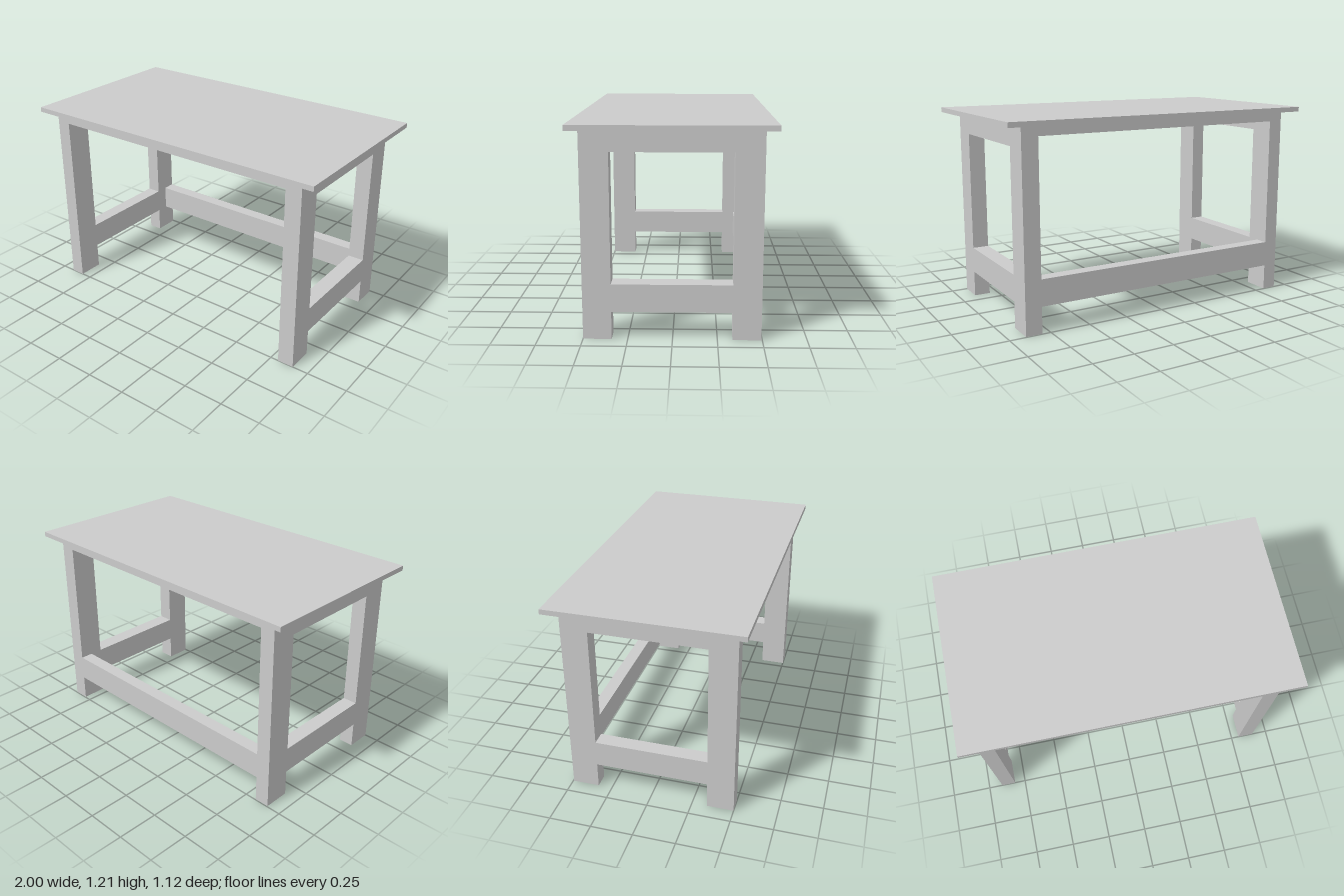
import * as THREE from 'three';

const TOP = 1.18;          // underside of the tabletop
const X0 = -0.82, X1 = 0.8; // inner faces of the end frames
const Z0 = -0.495, Z1 = 0.5; // back and front faces of the legs
const IN0 = -0.335, IN1 = 0.34; // inner faces of the legs

const polygon = (pts, Type = THREE.Shape) => new Type(pts.map(([a, b]) => new THREE.Vector2(a, b)));
const rect = (a0, b0, a1, b1) => [[a0, b0], [a1, b0], [a1, b1], [a0, b1]];

export function createModel() {
  const group = new THREE.Group();
  const material = new THREE.MeshStandardMaterial({ color: 0xcccccc, flatShading: true });

  const add = (name, geometry, x = 0, y = 0, z = 0) => {
    const mesh = new THREE.Mesh(geometry, material);
    mesh.name = name;
    mesh.position.set(x, y, z);
    group.add(mesh);
  };
  const box = (name, x0, x1, y0, y1, z0, z1) => add(name,
    new THREE.BoxGeometry(x1 - x0, y1 - y0, z1 - z0),
    (x0 + x1) / 2, (y0 + y1) / 2, (z0 + z1) / 2);

  // Tabletop board
  box('tabletop', -1, 1, TOP, 1.21, -0.56, 0.56);

  // End frames: two legs joined by a top rail and a low stretcher
  const endFrame = (name, x0, x1) => {
    const shape = polygon([
      [Z0, 0], [IN0, 0], [IN0, 0.16], [IN1, 0.16], [IN1, 0], [Z1, 0], [Z1, TOP], [Z0, TOP],
    ]);
    shape.holes.push(polygon(rect(IN0, 0.32, IN1, 1.055), THREE.Path));
    const geometry = new THREE.ExtrudeGeometry(shape, { depth: x1 - x0, bevelEnabled: false });
    add(name, geometry.rotateY(-Math.PI / 2), x1);
  };
  endFrame('leftEndFrame', X1, 0.9);
  endFrame('rightEndFrame', -0.91, X0);

  // Shallow apron ring under the top, between the end frames
  const ring = polygon(rect(X0, Z0, X1, Z1));
  ring.holes.push(polygon(rect(X0 + 0.08, IN0, X1 - 0.08, IN1), THREE.Path));
  const ringGeometry = new THREE.ExtrudeGeometry(ring, { depth: 0.06, bevelEnabled: false });
  add('apron', ringGeometry.rotateX(Math.PI / 2), 0, TOP);

  // Long stretcher, flush with the back of the legs
  box('backStretcher', X0, X1, 0.16, 0.32, Z0, Z0 + 0.08);

  return group;
}
